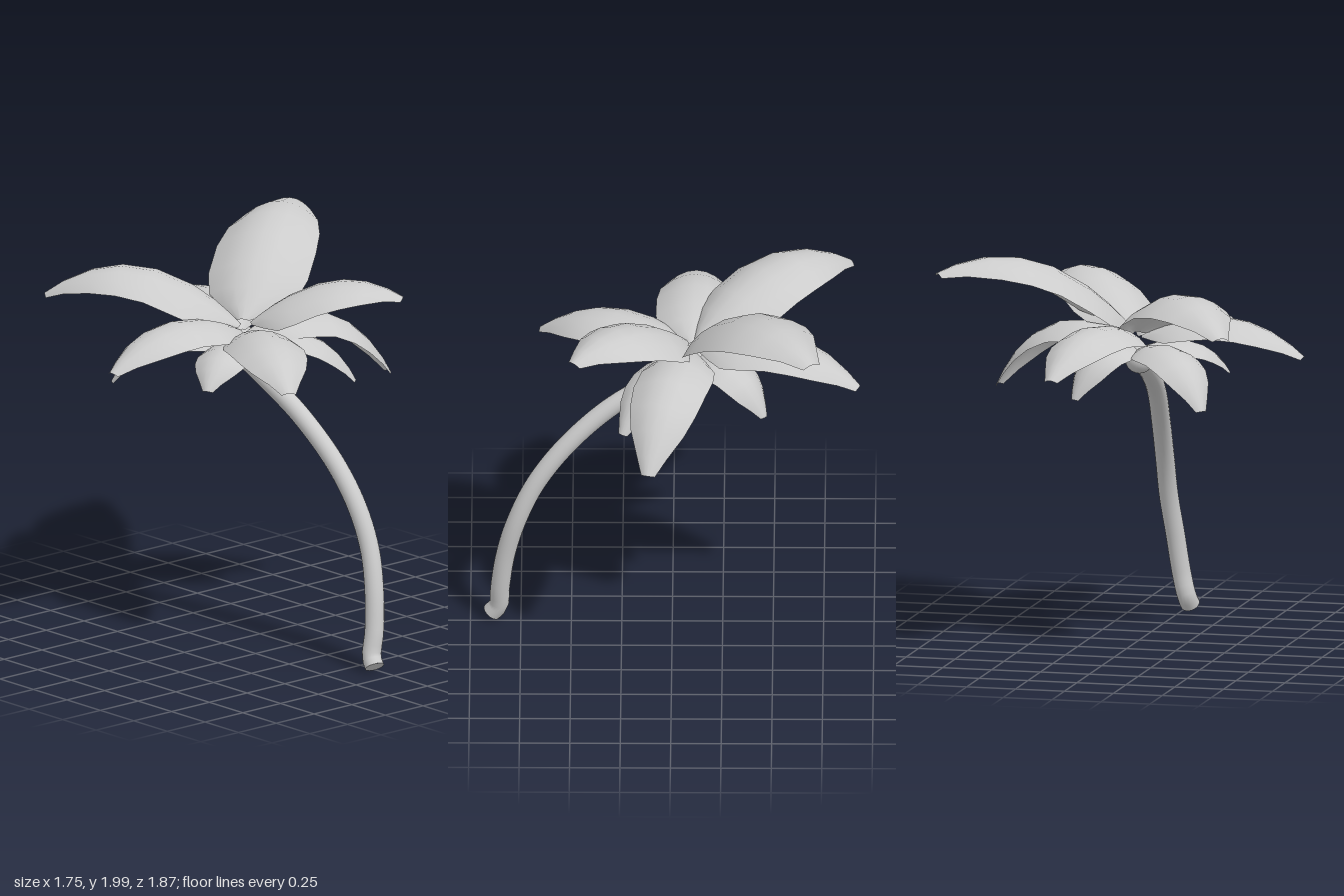
import * as THREE from 'three';

const grey = new THREE.MeshStandardMaterial({ color: 0xcccccc });
const leafGrey = new THREE.MeshStandardMaterial({ color: 0xcccccc, side: THREE.DoubleSide });

// Half-width along the leaf as a share of its widest half-width
const OUTLINE = [[0, 0.12], [0.07, 0.5], [0.16, 0.88], [0.28, 1], [0.46, 1], [0.62, 0.92], [0.76, 0.74], [0.9, 0.42], [1, 0.19]];

// Arched leaf from base to tip; midY is the ridge height halfway along,
// reach pushes the bend towards the tip
function leafGeometry(base, tip, midY, halfWidth, reach) {
  const across = 6;
  const control = base.clone().lerp(tip, 0.5 + reach);
  control.y = 2 * midY - (base.y + tip.y) / 2;
  const ridge = new THREE.QuadraticBezierCurve3(base, control, tip);
  const side = new THREE.Vector3(tip.z - base.z, 0, base.x - tip.x).normalize();
  const positions = [], index = [];
  OUTLINE.forEach(([t, w], i) => {
    const centre = ridge.getPointAt(t);
    const up = ridge.getTangentAt(t).cross(side).normalize();
    for (let j = 0; j <= across; j++) {
      const s = (j / across) * 2 - 1;
      const p = centre.clone()
        .addScaledVector(side, s * w * halfWidth)
        .addScaledVector(up, -s * s * w * halfWidth * 0.45);
      positions.push(p.x, p.y, p.z);
      if (i && j) {
        const d = i * (across + 1) + j, c = d - 1, b = d - across - 1, a = b - 1;
        index.push(a, b, c, b, d, c);
      }
    }
  });
  const g = new THREE.BufferGeometry();
  g.setAttribute('position', new THREE.Float32BufferAttribute(positions, 3));
  g.setIndex(index);
  g.computeVertexNormals();
  return g;
}

export function createModel() {
  const model = new THREE.Group();
  const add = (name, geometry, material = grey) => {
    const mesh = new THREE.Mesh(geometry, material);
    mesh.name = name;
    model.add(mesh);
    return mesh;
  };

  // Leaning trunk with a kinked foot
  const path = new THREE.CatmullRomCurve3([
    [-0.035, 0.035, 0.895], [-0.025, 0.08, 0.862], [0, 0.2, 0.853], [0.025, 0.4, 0.825],
    [0.044, 0.6, 0.77], [0.04, 0.8, 0.68], [0.022, 1, 0.535], [-0.01, 1.2, 0.32],
    [-0.03, 1.33, 0.11], [-0.035, 1.44, -0.12],
  ].map((p) => new THREE.Vector3(...p)));
  add('trunk', new THREE.TubeGeometry(path, 48, 0.048, 20));
  const foot = add('trunkFoot', new THREE.CircleGeometry(0.048, 20));
  foot.position.copy(path.getPoint(0));
  foot.quaternion.setFromUnitVectors(new THREE.Vector3(0, 0, 1), path.getTangent(0).negate());

  // Round crown where the leaves meet
  add('crown', new THREE.SphereGeometry(0.072, 24, 16)).position.set(-0.035, 1.445, -0.13);

  // Leaves: base xyz, tip xyz, ridge height halfway, half-width, reach
  const leaves = [
    // upper ring
    [[0, 1.6, -0.13], [0.855, 1.935, -0.7], 1.965, 0.255, -0.03],
    [[-0.02, 1.58, -0.12], [-0.645, 1.7, -0.88], 1.85, 0.23, 0.03],
    [[0, 1.6, -0.07], [0.515, 1.75, 0.49], 1.815, 0.22, 0.03],
    // middle ring
    [[-0.01, 1.55, -0.13], [0.22, 1.46, -0.93], 1.66, 0.19, 0.06],
    [[-0.04, 1.56, -0.1], [-0.875, 1.49, -0.12], 1.67, 0.19, 0.04],
    [[-0.03, 1.55, -0.06], [-0.385, 1.46, 0.655], 1.635, 0.19, 0.06],
    [[0, 1.54, -0.1], [0.755, 1.245, 0.12], 1.585, 0.185, 0.14],
    // lower ring
    [[-0.02, 1.5, -0.13], [0.22, 1.285, -0.465], 1.51, 0.14, 0.22],
    [[-0.04, 1.5, -0.13], [-0.47, 1.275, -0.58], 1.525, 0.15, 0.22],
    [[-0.02, 1.51, -0.1], [0.415, 1.29, 0.25], 1.52, 0.14, 0.2],
    [[-0.04, 1.5, -0.1], [-0.44, 1.36, 0.1], 1.515, 0.14, 0.2],
  ];
  leaves.forEach(([base, tip, ...shape], i) => {
    add(`leaf${i + 1}`, leafGeometry(new THREE.Vector3(...base), new THREE.Vector3(...tip), ...shape), leafGrey);
  });
  return model;
}
